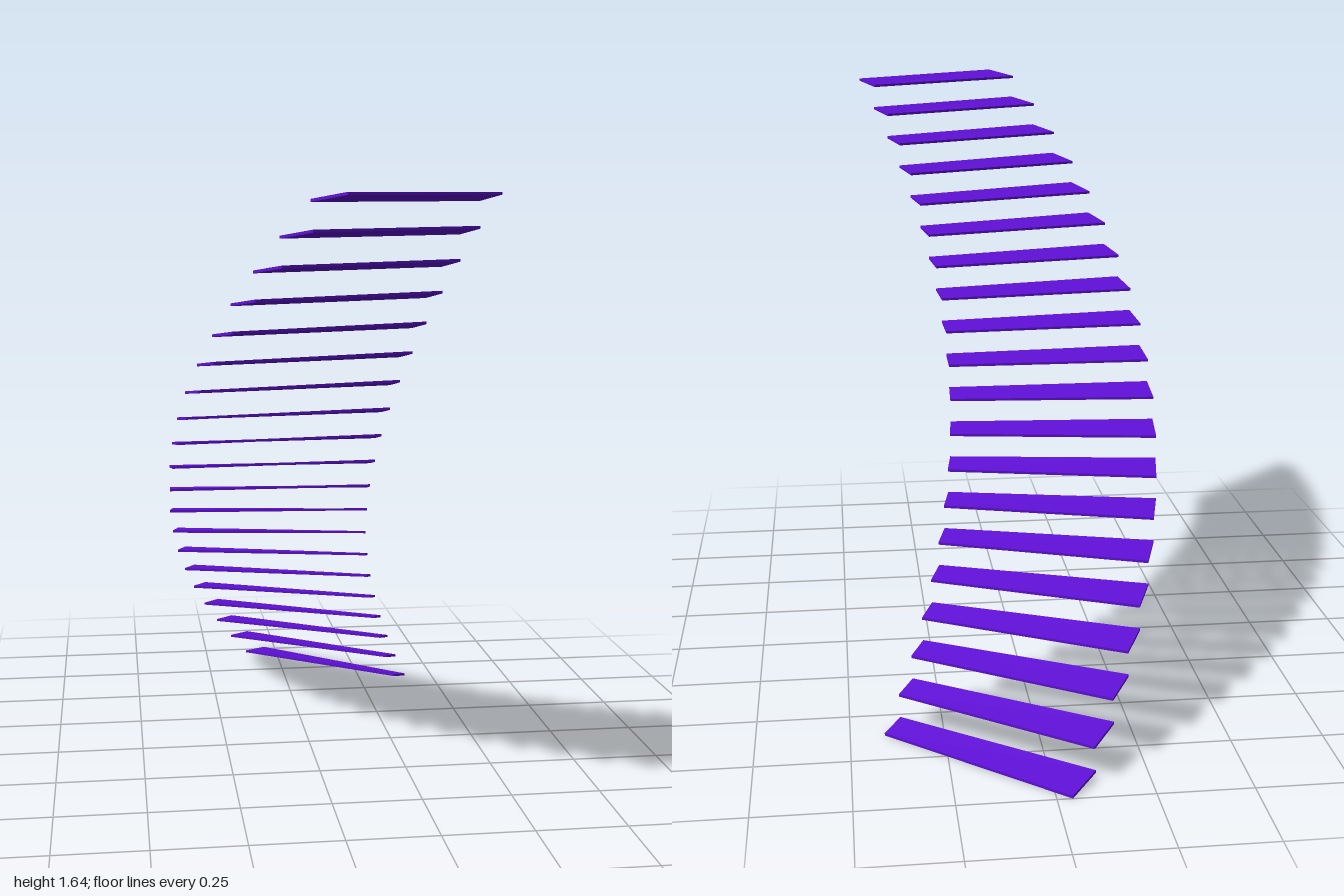
import * as THREE from 'three';

const STEPS = 20;
const CENTRE_X = 1.133;             // axis of the curved flight
const R_IN = 0.952, R_OUT = 1.541;
const HALF_SWEEP = THREE.MathUtils.degToRad(40.45);
const TREAD_ANGLE = THREE.MathUtils.degToRad(4.35); // treads overlap slightly in plan
const PITCH = (2 * HALF_SWEEP - TREAD_ANGLE) / (STEPS - 1);
const THICK = 0.007, TILT = 0.016;  // thin plate, rising along the climb
const HEIGHT = 1.638;
const RISE = (HEIGHT - THICK - TILT) / (STEPS - 1);

// Bend a unit box into a tilted wedge: x = radius, y = thickness, z = angle
function treadGeometry(index) {
  const geo = new THREE.BoxGeometry(1, 1, 1);
  const p = geo.attributes.position;
  const start = -HALF_SWEEP + index * PITCH;
  for (let i = 0; i < p.count; i++) {
    const along = p.getZ(i) + 0.5;
    const a = start + along * TREAD_ANGLE;
    const r = p.getX(i) > 0 ? R_IN : R_OUT;
    const y = index * RISE + along * TILT + (p.getY(i) + 0.5) * THICK;
    p.setXYZ(i, CENTRE_X - r * Math.cos(a), y, r * Math.sin(a));
  }
  geo.computeVertexNormals();
  return geo;
}

export function createModel() {
  const stair = new THREE.Group();
  stair.name = 'curvedStair';
  const material = new THREE.MeshStandardMaterial({ color: 0x6010d8, flatShading: true });

  // Floating treads climbing from back to front
  for (let i = 0; i < STEPS; i++) {
    const tread = new THREE.Mesh(treadGeometry(i), material);
    tread.name = `tread${i + 1}`;
    stair.add(tread);
  }
  return stair;
}
